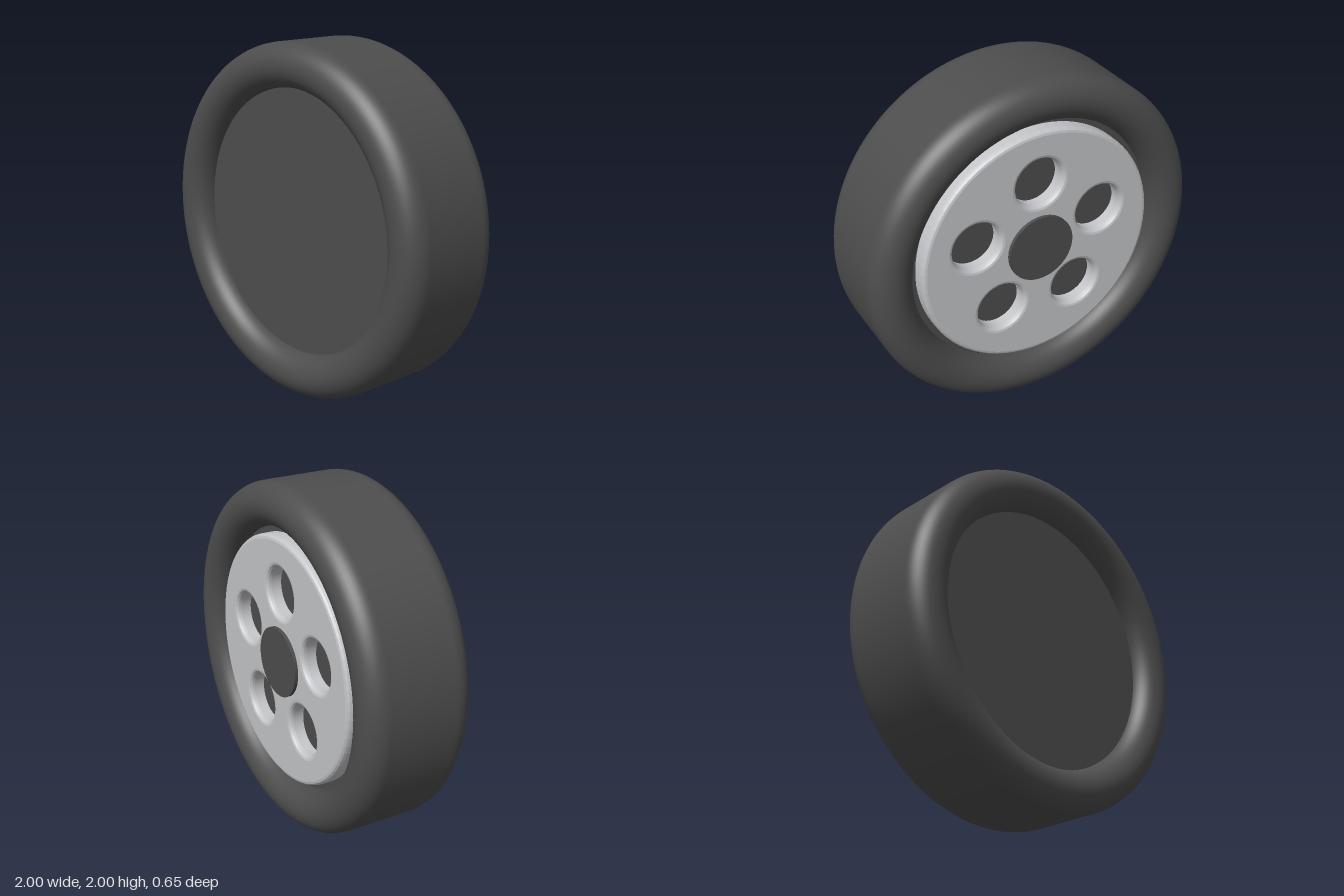
import * as THREE from 'three';

const rubber = new THREE.MeshStandardMaterial({ color: 0x4d4d4d });
rubber.name = 'dark rubber';
const metal = new THREE.MeshStandardMaterial({ color: 0xc4c5c8 });
metal.name = 'silver metal';

function addPart(group, name, geometry, material) {
  const mesh = new THREE.Mesh(geometry, material);
  mesh.name = name;
  group.add(mesh);
  return mesh;
}

// Disc whose axis runs along z, between two depths
function disc(radius, z0, z1) {
  return new THREE.CylinderGeometry(radius, radius, z1 - z0, 96)
    .rotateX(Math.PI / 2)
    .translate(0, 0, (z0 + z1) / 2);
}

// Tyre ring: flat tread with fully rounded shoulders
function tyreGeometry() {
  const profile = [];
  const steps = 20;
  for (const side of [-1, 1]) {
    for (let i = 0; i <= steps; i++) {
      const t = (i / steps) * Math.PI;
      const a = side < 0 ? Math.PI - t : t;
      profile.push(new THREE.Vector2(0.875 + 0.125 * Math.cos(a), side * (0.2 + 0.125 * Math.sin(a))));
    }
  }
  return new THREE.LatheGeometry(profile, 128).rotateX(Math.PI / 2);
}

// Bevelled rim plate with five round holes, facing the back
function rimGeometry() {
  const shape = new THREE.Shape().absarc(0, 0, 0.69, 0, Math.PI * 2);
  for (let i = 0; i < 5; i++) {
    const a = Math.PI / 2 + (i * Math.PI * 2) / 5;
    const hole = new THREE.Path();
    hole.absarc(0.405 * Math.cos(a), 0.405 * Math.sin(a), 0.17, 0, Math.PI * 2, true);
    shape.holes.push(hole);
  }
  return new THREE.ExtrudeGeometry(shape, {
    depth: 0.08, bevelEnabled: true, bevelThickness: 0.03, bevelSize: 0.025, bevelSegments: 3, curveSegments: 40,
  }).translate(0, 0, -0.25);
}

export function createModel() {
  const wheel = new THREE.Group();
  wheel.name = 'wheel';
  addPart(wheel, 'tyre', tyreGeometry(), rubber);
  addPart(wheel, 'innerDisc', disc(0.755, -0.19, 0.21), rubber);
  addPart(wheel, 'rim', rimGeometry(), metal);
  addPart(wheel, 'hubCap', disc(0.2, -0.3, -0.18), rubber);
  wheel.position.y = 1;

  const model = new THREE.Group();
  model.name = 'wheelModel';
  model.add(wheel);
  return model;
}
